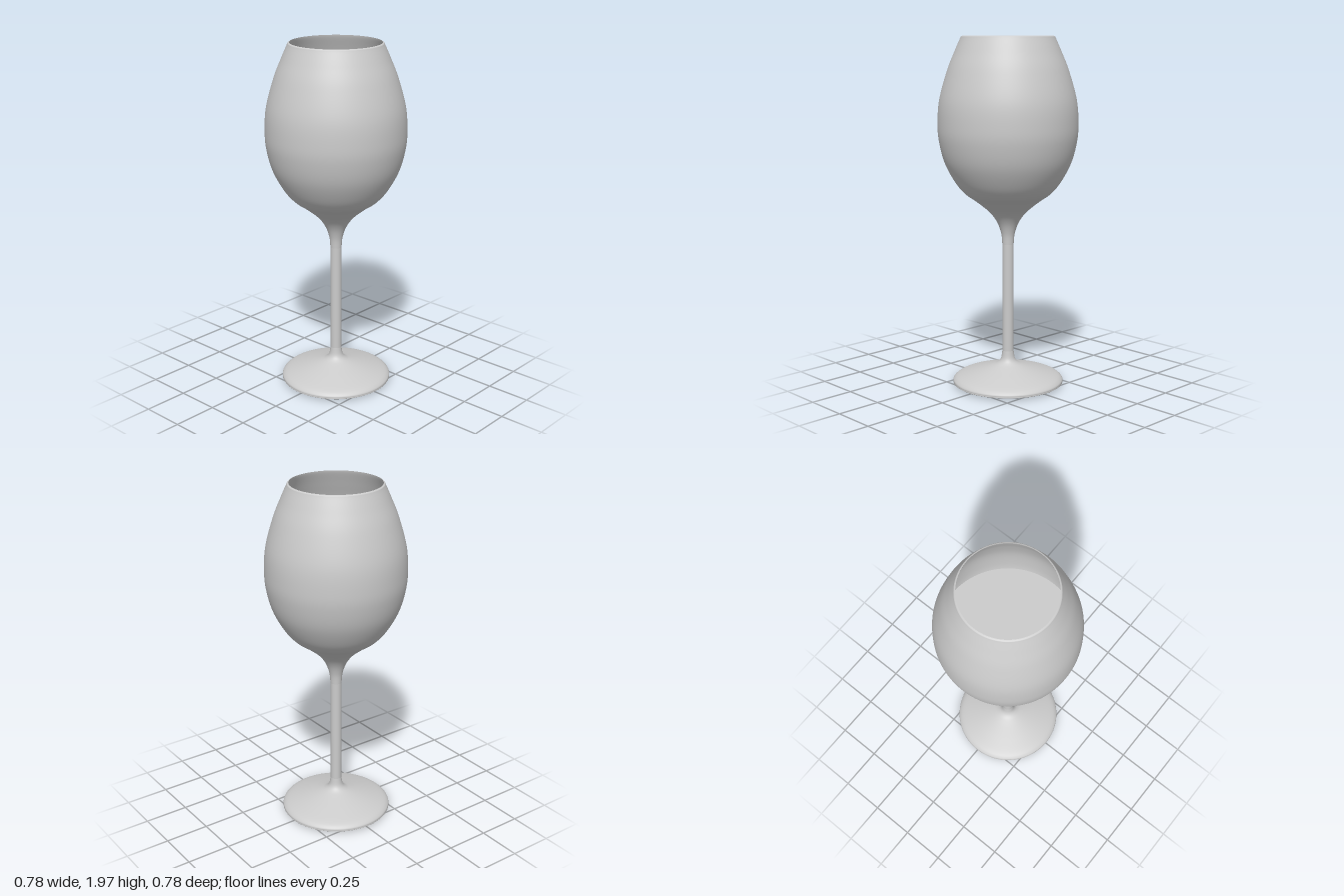
import * as THREE from 'three';

// Smooth curve through [radius, height] points
function smooth(points, divisions) {
  const curve = new THREE.SplineCurve(points.map(([r, y]) => new THREE.Vector2(r, y)));
  return curve.getPoints(divisions).map(p => new THREE.Vector2(Math.max(p.x, 0), p.y));
}

function turned(name, profile) {
  const material = new THREE.MeshStandardMaterial({ color: 0xcccccc, side: THREE.DoubleSide });
  const mesh = new THREE.Mesh(new THREE.LatheGeometry(profile, 96), material);
  mesh.name = name;
  return mesh;
}

export function createModel() {
  const group = new THREE.Group();
  group.name = 'wineGlass';

  // Foot: nearly flat underside, rounded edge, flared top
  group.add(turned('foot', smooth([
    [0, 0.027], [0.1, 0.029], [0.2, 0.032], [0.302, 0.036], [0.314, 0.046],
    [0.308, 0.06], [0.28, 0.077], [0.2, 0.103], [0.1, 0.133], [0.06, 0.15],
    [0.04, 0.175], [0.032, 0.22],
  ], 84)));

  // Stem: plain thin rod
  group.add(turned('stem', [new THREE.Vector2(0.032, 0.22), new THREE.Vector2(0.032, 0.84)]));

  // Bowl: outer wall, full and round below, narrowing to the mouth
  group.add(turned('bowl', smooth([
    [0.032, 0.84], [0.038, 0.9], [0.061, 0.965], [0.105, 1.025], [0.18, 1.087],
    [0.24, 1.13], [0.295, 1.195], [0.351, 1.3], [0.381, 1.41], [0.39, 1.51],
    [0.38, 1.65], [0.336, 1.81], [0.294, 1.915], [0.264, 1.983], [0.258, 1.996], [0.25, 2],
  ], 96)));

  // Inner wall, widening straight from the mouth down to the bottom of the cup
  group.add(turned('bowlInside', smooth([
    [0.25, 2], [0.256, 1.98], [0.284, 1.912], [0.326, 1.805], [0.37, 1.65],
    [0.38, 1.51], [0.371, 1.41], [0.341, 1.305], [0.285, 1.203], [0.23, 1.143],
    [0.165, 1.1], [0.08, 1.065], [0, 1.05],
  ], 78)));

  // Drink: level surface resting inside the cup
  const drink = new THREE.Mesh(
    new THREE.CircleGeometry(0.374, 96),
    new THREE.MeshStandardMaterial({ color: 0xcccccc, side: THREE.DoubleSide }),
  );
  drink.name = 'drinkSurface';
  drink.rotation.x = -Math.PI / 2;
  drink.position.y = 1.45;
  group.add(drink);

  return group;
}
